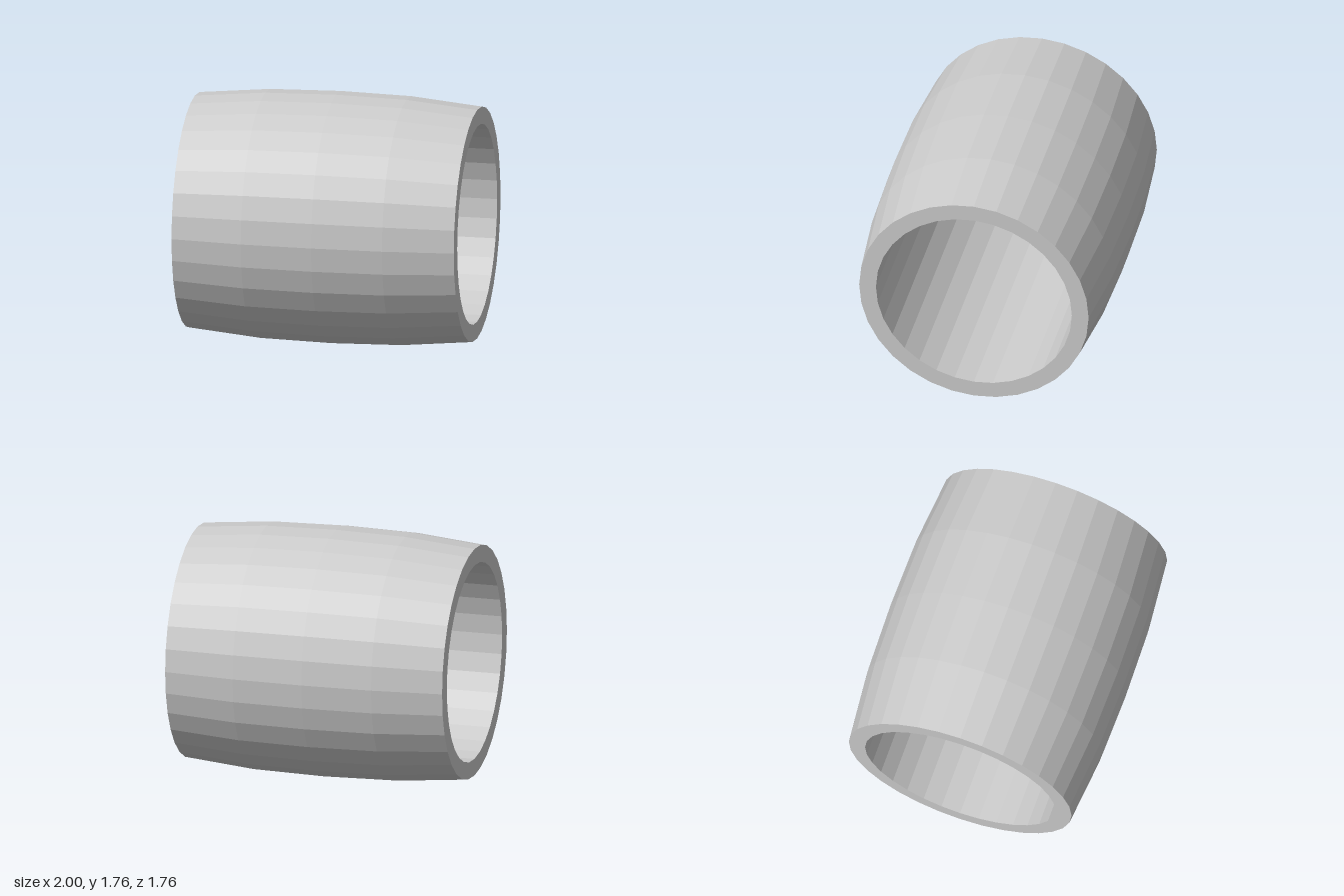
import * as THREE from 'three';

const SIDES = 32;
const RADIUS = 0.878; // widest outer radius, at mid length

export function createModel() {
  const group = new THREE.Group();
  group.name = 'barrelSleeve';

  // Closed wall section (radius, position along axis): bulged outside, straight bore
  const section = [
    [0.70, -1], [0.82, -1], [0.867, -0.5], [RADIUS, 0],
    [0.867, 0.5], [0.82, 1], [0.70, 1], [0.70, -1],
  ].map(([r, a]) => new THREE.Vector2(r, a));

  // Spin the section, then lay the axis along x
  const geometry = new THREE.LatheGeometry(section, SIDES);
  geometry.rotateZ(-Math.PI / 2);

  const sleeve = new THREE.Mesh(
    geometry,
    new THREE.MeshStandardMaterial({ color: 0xcccccc, flatShading: true })
  );
  sleeve.name = 'sleeve';
  sleeve.position.y = RADIUS;
  group.add(sleeve);
  return group;
}
